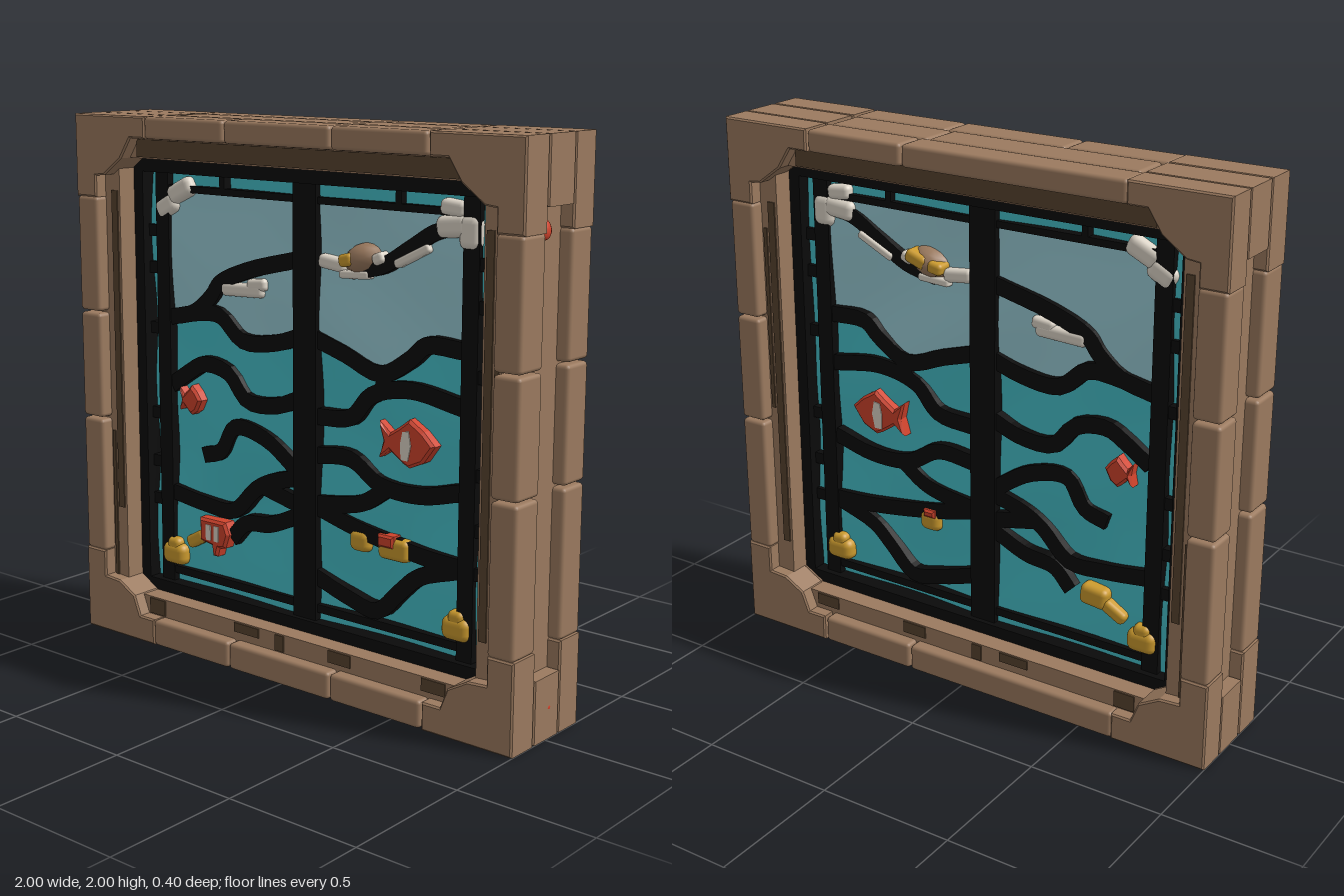
import * as THREE from 'three';
import { RoundedBoxGeometry } from 'three/addons/geometries/RoundedBoxGeometry.js';

const paint = (name, color, side = THREE.FrontSide) => {
  const m = new THREE.MeshStandardMaterial({ color, side });
  m.name = name;
  return m;
};

export function createModel() {
  const wood = paint('brown', 0x9b7a5f), dark = paint('dark brown', 0x57432f), lead = paint('black', 0x0a0a0a);
  const water = paint('teal', 0x46c0ca), sky = paint('pale blue', 0x9acdd7, THREE.DoubleSide);
  const red = paint('red', 0xd0432c), white = paint('off white', 0xddd5c8), gold = paint('gold', 0xcb9a2e);
  const model = new THREE.Group();
  model.name = 'glassWindow';

  const add = (name, geometry, material, x = 0, y = 0, z = 0) => {
    const mesh = new THREE.Mesh(geometry, material);
    mesh.name = name;
    mesh.position.set(x, y, z);
    model.add(mesh);
    return mesh;
  };
  // Outline swept from z0 to z1 with a small bevel kept inside the outline
  const slab = (name, pts, z0, z1, material, bevel = 0, hole) => {
    const shape = new THREE.Shape(pts.map(([x, y]) => new THREE.Vector2(x, y)));
    if (hole) shape.holes.push(new THREE.Path(hole.map(([x, y]) => new THREE.Vector2(x, y))));
    const g = new THREE.ExtrudeGeometry(shape, {
      depth: z1 - z0 - 2 * bevel, bevelEnabled: bevel > 0, bevelSize: bevel,
      bevelThickness: bevel, bevelOffset: -bevel, bevelSegments: 1,
    });
    return add(name, g, material, 0, 0, z0 + bevel);
  };
  const rect = (x0, y0, x1, y1) => [[x0, y0], [x1, y0], [x1, y1], [x0, y1]];
  const brick = (name, x0, x1, y0, y1, z0, z1) => add(name,
    new RoundedBoxGeometry(x1 - x0 - 0.006, y1 - y0, z1 - z0, 2, 0.014), wood,
    (x0 + x1) / 2, (y0 + y1) / 2, (z0 + z1) / 2);

  // Stepped core of the frame, visible in the side channels and round the opening
  slab('frameCore', rect(-0.95, 0.04, 0.95, 1.96), -0.15, 0.15, wood, 0, rect(-0.82, 0.17, 0.82, 1.845));

  // Brick layers: back, middle, front
  const layers = [[-0.2, -0.079, [-0.64, 0.23, 0.63]], [-0.08, 0.07, [-0.62, 0.2, 0.62]],
    [0.071, 0.2, [-0.64, -0.25, 0.23, 0.63]]];
  const sideSeams = [0.32, 0.85, 1.26, 1.7];
  layers.forEach(([z0, z1, seams], i) => {
    const middle = i === 1;
    for (let k = 0; k < seams.length - 1; k++) {
      brick('topBrick', seams[k], seams[k + 1], 1.92, 2, z0, z1);
      brick('bottomBrick', seams[k], seams[k + 1], 0, 0.1, z0, z1);
    }
    for (const s of [-1, 1]) {
      const arm = middle ? 1.78 : 1.7;
      slab('topCorner', [[1, 2], [0.635, 2], [0.635, 1.92], [0.71, 1.92], [0.76, 1.845], [0.85, 1.78],
        [0.895, 1.775], [0.895, arm - 0.005], [1, arm - 0.005]].map(([x, y]) => [x * s, y]), z0, z1, wood, 0.006);
      const foot = middle ? 0.22 : 0.32;
      slab('bottomCorner', [[1, 0], [0.635, 0], [0.635, 0.1], [0.71, 0.1], [0.74, 0.175], [0.82, 0.22],
        [0.895, 0.225], [0.895, foot + 0.005], [1, foot + 0.005]].map(([x, y]) => [x * s, y]), z0, z1, wood, 0.006);
      if (middle) continue;
      for (let k = 0; k < 3; k++) {
        const b = brick('sideBrick', -0.055, 0.055, sideSeams[k] + 0.004, sideSeams[k + 1] - 0.004, z0, z1);
        b.position.x = s * 0.945;
      }
    }
  });

  // Dark weathering on the inner step, front and back
  const stains = [[-0.72, 1.85, 0.72, 1.915], [-0.86, 0.5, -0.83, 1.72], [0.83, 0.35, 0.86, 1.7], [-0.885, 0.22, -0.87, 0.8],
    [0.87, 0.9, 0.885, 1.6], [-0.7, 0.105, -0.62, 0.165], [-0.26, 0.13, -0.14, 0.165], [-0.06, 0.105, -0.02, 0.165],
    [0.19, 0.12, 0.29, 0.165], [0.6, 0.12, 0.7, 0.165]];
  for (const r of stains) {
    slab('stain', rect(...r), 0.15, 0.155, dark);
    slab('stain', rect(...r), -0.155, -0.15, dark);
  }

  // Rippled water glass
  const ripple = (x, y) => 0.02 + 0.007 * Math.sin(x * 9 + 2 * Math.sin(y * 5)) + 0.006 * Math.sin(y * 11 + x * 4);
  const pane = new THREE.BoxGeometry(1.66, 1.7, 2, 32, 32, 1);
  const p = pane.attributes.position;
  for (let i = 0; i < p.count; i++) p.setZ(i, p.getZ(i) * ripple(p.getX(i), p.getY(i) + 1));
  pane.computeVertexNormals();
  add('waterGlass', pane, water, 0, 1);

  // Sky glass laid over the water, down to the shoreline
  const shore = [[-0.67, 1.25], [-0.52, 1.28], [-0.42, 1.28], [-0.31, 1.2], [-0.15, 1.21], [0, 1.26],
    [0.17, 1.21], [0.33, 1.16], [0.46, 1.23], [0.52, 1.28], [0.68, 1.28]];
  const shoreAt = (x) => {
    const k = Math.min(shore.length - 2, Math.max(0, shore.findIndex(q => q[0] > x) - 1));
    const [a, b] = [shore[k], shore[k + 1]];
    return a[1] + (b[1] - a[1]) * (x - a[0]) / (b[0] - a[0]);
  };
  for (const s of [-1, 1]) {
    const g = new THREE.PlaneGeometry(1.34, 1, 32, 12), q = g.attributes.position;
    for (let i = 0; i < q.count; i++) {
      const x = s * q.getX(i), low = shoreAt(x), y = low + (1.735 - low) * (q.getY(i) + 0.5);
      q.setXYZ(i, x, y, s * (ripple(x, y) + 0.005));
    }
    g.computeVertexNormals();
    add('skyGlass', g, sky);
  }

  // Straight lead: rim, inner border, centre bar and short ties
  slab('leadRim', rect(-0.83, 0.165, 0.83, 1.85), -0.075, 0.075, lead, 0, rect(-0.775, 0.215, 0.775, 1.79));
  slab('centreBar', rect(-0.055, 0.18, 0.05, 1.84), -0.055, 0.055, lead);
  for (const s of [-1, 1]) {
    slab('sideBar', rect(s * 0.7 - 0.032, 0.2, s * 0.7 + 0.032, 1.8), -0.05, 0.05, lead);
    for (const y of [0.53, 0.68, 0.87, 1.2, 1.43, 1.57])
      slab('sideTie', rect(s * 0.75 - 0.03, y - 0.022, s * 0.75 + 0.03, y + 0.022), -0.045, 0.045, lead);
    slab('topTie', rect(s * 0.4 - 0.012, 1.73, s * 0.4 + 0.012, 1.8), -0.045, 0.045, lead);
  }
  slab('topBar', rect(-0.7, 1.72, 0.7, 1.745), -0.045, 0.045, lead);
  slab('bottomBar', rect(-0.7, 0.245, 0.7, 0.275), -0.045, 0.045, lead);

  // Curved lead lines
  const ribbon = (name, pts, w = 0.06) => {
    const curve = new THREE.CatmullRomCurve3(pts.map(([x, y]) => new THREE.Vector3(x, y, 0)), false, 'centripetal');
    const upper = [], lower = [];
    for (let i = 0; i <= 20; i++) {
      const c = curve.getPoint(i / 20), t = curve.getTangent(i / 20);
      upper.push([c.x - t.y * w / 2, c.y + t.x * w / 2]);
      lower.unshift([c.x + t.y * w / 2, c.y - t.x * w / 2]);
    }
    slab(name, [...upper, ...lower], -0.045, 0.045, lead);
  };
  [
    [[-0.67, 1.25], [-0.55, 1.28], [-0.46, 1.35], [-0.42, 1.4], [-0.28, 1.46], [-0.04, 1.52]],
    shore.slice(0, 6),
    shore.slice(5),
    [[0.04, 0.97], [0.2, 0.99], [0.29, 1.08], [0.45, 1.12], [0.67, 1.09]],
    [[0.33, 1.09], [0.35, 1.16]],
    [[-0.67, 0.99], [-0.58, 1.05], [-0.5, 1.09], [-0.38, 1.07], [-0.29, 0.98], [-0.15, 0.98], [-0.04, 1.02]],
    [[-0.51, 0.74], [-0.42, 0.77], [-0.35, 0.87], [-0.2, 0.85], [-0.04, 0.75]],
    [[0.04, 0.83], [0.2, 0.84], [0.33, 0.77], [0.5, 0.76], [0.67, 0.8]],
    [[0.04, 0.65], [0.25, 0.69], [0.36, 0.76]],
    [[-0.67, 0.57], [-0.5, 0.55], [-0.36, 0.55], [-0.25, 0.65], [-0.18, 0.69], [-0.04, 0.73]],
    [[-0.37, 0.44], [-0.3, 0.51], [-0.18, 0.53], [-0.04, 0.59]],
    [[-0.22, 0.67], [-0.04, 0.63]],
    [[0.04, 0.64], [0.2, 0.6], [0.5, 0.55], [0.67, 0.54]],
    [[0.04, 0.38], [0.2, 0.33], [0.32, 0.31], [0.42, 0.4], [0.5, 0.47], [0.67, 0.53]],
  ].forEach(pts => ribbon('leadWave', pts));
  ribbon('branch', [[0.2, 1.5], [0.33, 1.53], [0.45, 1.6], [0.55, 1.66], [0.66, 1.69]], 0.055);

  // Rounded lumps and soft blocks: clouds, bird, corals
  const blob = (name, m, x, y, rx, ry, rz = 0.06, tilt = 0, z = 0) => {
    const b = add(name, new THREE.SphereGeometry(1, 12, 8), m, x, y, z);
    b.scale.set(rx, ry, rz);
    b.rotation.z = tilt;
  };
  const block = (name, m, x, y, w, h, d, tilt = 0, z = 0) => {
    add(name, new RoundedBoxGeometry(w, h, d, 3, Math.min(w, h, d) * 0.35), m, x, y, z).rotation.z = tilt;
  };
  block('cornerCloud', white, -0.685, 1.665, 0.11, 0.08, 0.11, 0.5);
  block('cornerCloud', white, -0.615, 1.725, 0.13, 0.075, 0.11, 0.45);
  block('cornerCloud', white, 0.62, 1.685, 0.13, 0.075, 0.12, 0.1);
  block('cornerCloud', white, 0.69, 1.67, 0.09, 0.12, 0.12);
  block('cornerCloud', white, 0.62, 1.745, 0.1, 0.055, 0.11, -0.1);
  block('branchCloud', white, 0.46, 1.575, 0.16, 0.03, 0.11, 0.45);
  block('lowCloud', white, -0.31, 1.385, 0.2, 0.05, 0.1, 0.04);
  block('lowCloud', white, -0.24, 1.41, 0.09, 0.045, 0.1, 0.1);
  block('birdTail', white, 0.11, 1.52, 0.12, 0.05, 0.1, -0.12);
  block('birdBelly', white, 0.21, 1.49, 0.13, 0.03, 0.1, 0.05);
  blob('birdBody', wood, 0.235, 1.545, 0.085, 0.055, 0.075, 0.3);
  block('birdWing', gold, 0.19, 1.54, 0.06, 0.045, 0.15, 0.2);
  block('birdBackWing', gold, 0.27, 1.56, 0.09, 0.05, 0.075, 0.35, -0.04);
  block('birdHead', white, 0.32, 1.555, 0.05, 0.04, 0.12, 0.4);
  for (const s of [-1, 1]) {
    block('coral', gold, s * 0.665, 0.325, 0.115, 0.085, 0.14);
    block('coral', gold, s * 0.665, 0.36, 0.065, 0.06, 0.13);
  }

  // Fish: a body with forked tail at the left, and pale stripes
  const fish = (name, x, y, w, h, m, stripes = []) => {
    const outline = [[1, 0.1], [0.6, 0.6], [0.1, 1], [-0.25, 0.65], [-0.6, 0.35], [-1, 0.75],
      [-0.85, 0], [-1, -0.7], [-0.6, -0.35], [-0.15, -0.75], [0.1, -0.9], [0.6, -0.6]];
    slab(name, outline.map(([a, b]) => [x + a * w, y + b * h]), -0.065, 0.065, m, 0.01);
    for (const a of stripes) slab(name + 'Stripe',
      [[-0.15, -0.6], [0.1, -0.6], [0.2, 0], [0.12, 0.55], [-0.1, 0.5], [-0.18, 0]]
        .map(([u, v]) => [x + (a + u) * w, y + v * h]), -0.068, 0.068, white);
  };
  fish('largeFish', 0.455, 0.935, 0.118, 0.09, red, [0]);
  fish('smallFish', -0.56, 0.945, 0.055, 0.06, red);
  // Striped fish shows red at the front and gold at the back
  slab('stripedFish', [[-0.52, 0.5], [-0.39, 0.5], [-0.37, 0.455], [-0.39, 0.4], [-0.42, 0.395], [-0.43, 0.36], [-0.455, 0.36],
    [-0.46, 0.4], [-0.52, 0.41]], 0, 0.065, red, 0.01);
  for (const x of [-0.47, -0.43]) slab('stripedFishStripe', rect(x - 0.012, 0.42, x + 0.012, 0.48), 0.06, 0.068, white);
  block('stripedFishBack', gold, -0.47, 0.445, 0.11, 0.08, 0.065, 0.1, -0.033);
  block('stripedFishTail', gold, -0.55, 0.405, 0.1, 0.05, 0.12, 0.5);
  // Gold fish: the head sits only on the front, the tail goes through
  block('goldFishTail', gold, 0.24, 0.55, 0.09, 0.08, 0.11);
  block('goldFishBody', gold, 0.395, 0.55, 0.13, 0.08, 0.06, 0, 0.03);
  slab('goldFishBack', rect(0.335, 0.555, 0.405, 0.6), 0, 0.066, red, 0.008);
  slab('goldFishRearFin', rect(0.21, 0.57, 0.26, 0.6), -0.062, 0, red, 0.008);

  // Red chips in the left side of the frame
  blob('redChip', red, 0.955, 1.7, 0.02, 0.035, 0.035, 0.2, 0.025);
  blob('redChip', red, 0.995, 0.11, 0.006, 0.012, 0.015, 0, -0.02);
  return model;
}
